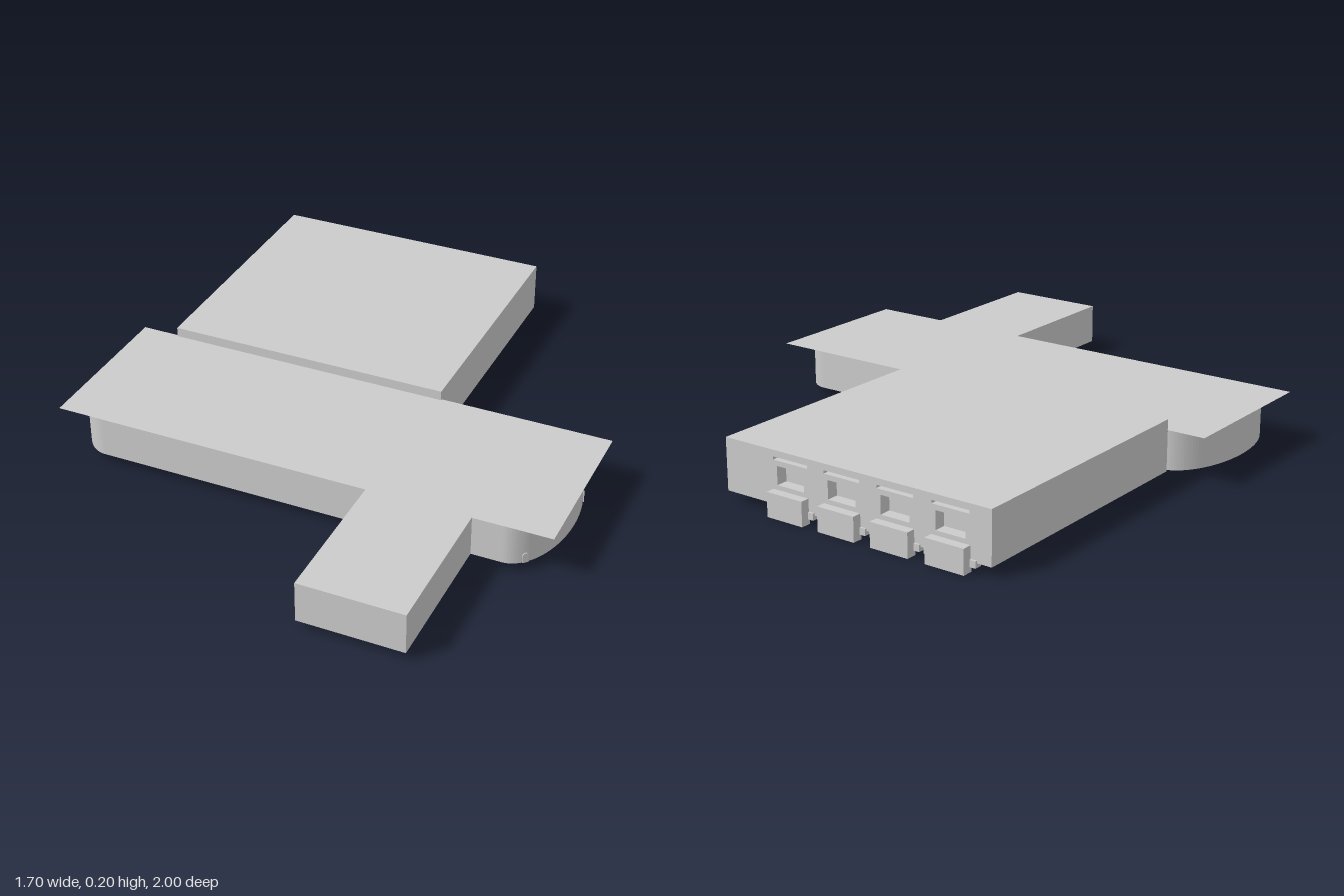
import * as THREE from 'three';

const material = new THREE.MeshStandardMaterial({ color: 0xcccccc });
const thinMaterial = new THREE.MeshStandardMaterial({ color: 0xcccccc, side: THREE.DoubleSide });

// Box given by its lower and upper corner
function box(name, [x0, y0, z0], [x1, y1, z1]) {
  const mesh = new THREE.Mesh(new THREE.BoxGeometry(x1 - x0, y1 - y0, z1 - z0), material);
  mesh.name = name;
  mesh.position.set((x0 + x1) / 2, (y0 + y1) / 2, (z0 + z1) / 2);
  return mesh;
}

function rectHole(x0, y0, x1, y1) {
  const hole = new THREE.Path();
  hole.moveTo(x0, y0).lineTo(x0, y1).lineTo(x1, y1).lineTo(x1, y0).closePath();
  return hole;
}

export function createModel() {
  const group = new THREE.Group();
  group.name = 'terminalBuilding';
  const floor = 0.032, eaves = 0.17, hallTop = 0.203;
  const docks = [0, 1, 2, 3].map((i) => -0.578 + i * 0.196);

  // Cross building with bowed ends; the shape's y becomes -z
  const midZ = 0.23, halfZ = 0.272, endX = 0.69, bulge = 0.14;
  const plan = new THREE.Shape();
  plan.moveTo(-endX, -midZ - halfZ);
  plan.lineTo(endX, -midZ - halfZ);
  plan.absellipse(endX, -midZ, bulge, halfZ, -Math.PI / 2, Math.PI / 2, false);
  plan.lineTo(-endX, -midZ + halfZ);
  plan.absellipse(-endX, -midZ, bulge, halfZ, Math.PI / 2, Math.PI * 1.5, false);
  const bodyGeometry = new THREE.ExtrudeGeometry(plan, {
    depth: eaves - floor - 0.002, bevelEnabled: false, curveSegments: 32,
  });
  bodyGeometry.rotateX(-Math.PI / 2);
  const body = new THREE.Mesh(bodyGeometry, material);
  body.name = 'crossBuilding';
  body.position.y = floor;
  group.add(body);

  // Thin overhanging flat roof
  const roof = new THREE.Mesh(new THREE.PlaneGeometry(1.7, 0.56), thinMaterial);
  roof.name = 'crossRoof';
  roof.rotation.x = -Math.PI / 2;
  roof.position.set(0, eaves, 0.224);
  group.add(roof);

  // Front wing
  group.add(box('frontWing', [0.242, floor, 0.49], [0.59, eaves, 1]));

  // Rear hall
  group.add(box('rearHall', [-0.718, floor, -0.93], [0.265, hallTop, -0.05]));

  // Rear wall with a window and a vent slot over each dock
  const wall = new THREE.Shape();
  wall.moveTo(-0.718, floor).lineTo(0.265, floor).lineTo(0.265, hallTop).lineTo(-0.718, hallTop).closePath();
  for (const x of docks) {
    wall.holes.push(rectHole(x - 0.052, 0.095, x + 0.052, 0.155));
    wall.holes.push(rectHole(x - 0.066, 0.172, x + 0.066, 0.182));
  }
  const rearWall = new THREE.Mesh(
    new THREE.ExtrudeGeometry(wall, { depth: 0.04, bevelEnabled: false }), material);
  rearWall.name = 'rearWall';
  rearWall.position.z = -0.969;
  group.add(rearWall);

  // Loading docks, with bumpers and an underfloor channel
  for (const x of docks) {
    const dock = new THREE.Group();
    dock.name = 'loadingDock';
    dock.add(box('dockBox', [x - 0.068, 0, -1], [x + 0.068, 0.08, -0.965]));
    dock.add(box('windowPane', [x - 0.035, 0.105, -0.945], [x + 0.035, 0.145, -0.925]));
    dock.add(box('underfloorChannel', [x - 0.05, 0.025, -0.965], [x + 0.05, 0.034, -0.44]));
    for (const side of [-1, 1]) {
      const bx = x + side * 0.08;
      dock.add(box('bumper', [bx - 0.01, 0.018, -0.976], [bx + 0.01, 0.04, -0.95]));
    }
    group.add(dock);
  }

  // Arched doors on the bowed end
  const doorShape = new THREE.Shape();
  doorShape.moveTo(-0.01, 0).lineTo(0.01, 0).lineTo(0.01, 0.025);
  doorShape.absarc(0, 0.025, 0.01, 0, Math.PI, false);
  doorShape.closePath();
  const doorGeometry = new THREE.ExtrudeGeometry(doorShape, { depth: 0.006, bevelEnabled: false, curveSegments: 6 });
  for (const angle of [1.1, -0.5]) {
    const door = new THREE.Mesh(doorGeometry, material);
    door.name = 'archedDoor';
    door.position.set(endX + (bulge - 0.003) * Math.cos(angle), floor, midZ + (halfZ - 0.003) * Math.sin(angle));
    door.rotation.y = Math.atan2(Math.cos(angle) / bulge, Math.sin(angle) / halfZ);
    group.add(door);
  }
  return group;
}
